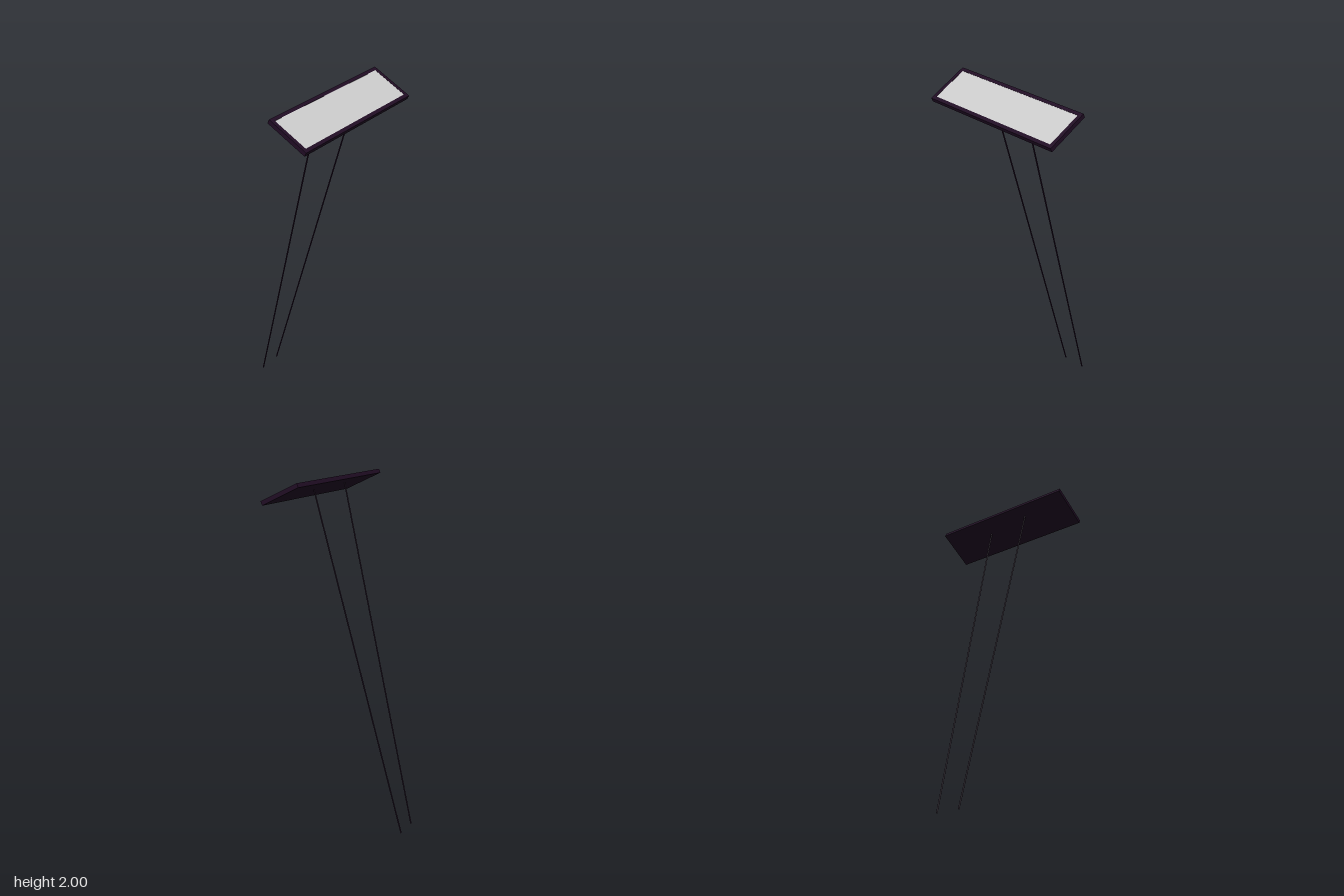
import * as THREE from 'three';

export function createModel() {
  const model = new THREE.Group();
  const dark = new THREE.MeshStandardMaterial({ color: 0x200c24 });
  const grey = new THREE.MeshStandardMaterial({ color: 0xcccccc });

  const add = (parent, name, geometry, material) => {
    const mesh = new THREE.Mesh(geometry, material);
    mesh.name = name;
    parent.add(mesh);
    return mesh;
  };
  const rectangle = (target, w, h) => {
    target.moveTo(-w / 2, -h / 2).lineTo(w / 2, -h / 2).lineTo(w / 2, h / 2).lineTo(-w / 2, h / 2).closePath();
    return target;
  };

  // Tilted panel, built lying flat and facing up
  const width = 0.866, depth = 0.251, thick = 0.024, border = 0.021, back = 0.008;
  const panel = new THREE.Group();
  panel.name = 'panel';
  panel.position.set(0, 1.935, 0.219);
  panel.rotation.x = THREE.MathUtils.degToRad(25);
  model.add(panel);

  // Frame around the glass
  const outline = rectangle(new THREE.Shape(), width, depth);
  outline.holes.push(rectangle(new THREE.Path(), width - 2 * border, depth - 2 * border));
  const frame = new THREE.ExtrudeGeometry(outline, { depth: thick, bevelEnabled: false });
  frame.rotateX(-Math.PI / 2).translate(0, -thick / 2, 0);
  add(panel, 'panelFrame', frame, dark);

  // Backing plate and the glass resting on it
  const innerW = width - 2 * border, innerD = depth - 2 * border;
  add(panel, 'panelBack', new THREE.BoxGeometry(innerW, back, innerD), dark)
    .position.y = (back - thick) / 2;
  const glassThick = thick - back - 0.001;
  add(panel, 'panelGlass', new THREE.BoxGeometry(innerW, glassThick, innerD), grey)
    .position.y = back - thick / 2 + glassThick / 2;

  // Two thin leaning legs, each from foot to panel
  const legs = [
    ['rightLeg', [-0.045, 0, -0.331], [-0.141, 1.945, 0.17]],
    ['leftLeg', [0.09, 0, -0.336], [0.133, 1.935, 0.2]],
  ];
  for (const [name, foot, top] of legs) {
    const a = new THREE.Vector3(...foot), b = new THREE.Vector3(...top);
    const direction = b.clone().sub(a);
    const leg = add(model, name, new THREE.CylinderGeometry(0.004, 0.004, direction.length(), 8), dark);
    leg.position.copy(a).add(b).multiplyScalar(0.5);
    leg.quaternion.setFromUnitVectors(new THREE.Vector3(0, 1, 0), direction.normalize());
  }
  return model;
}
